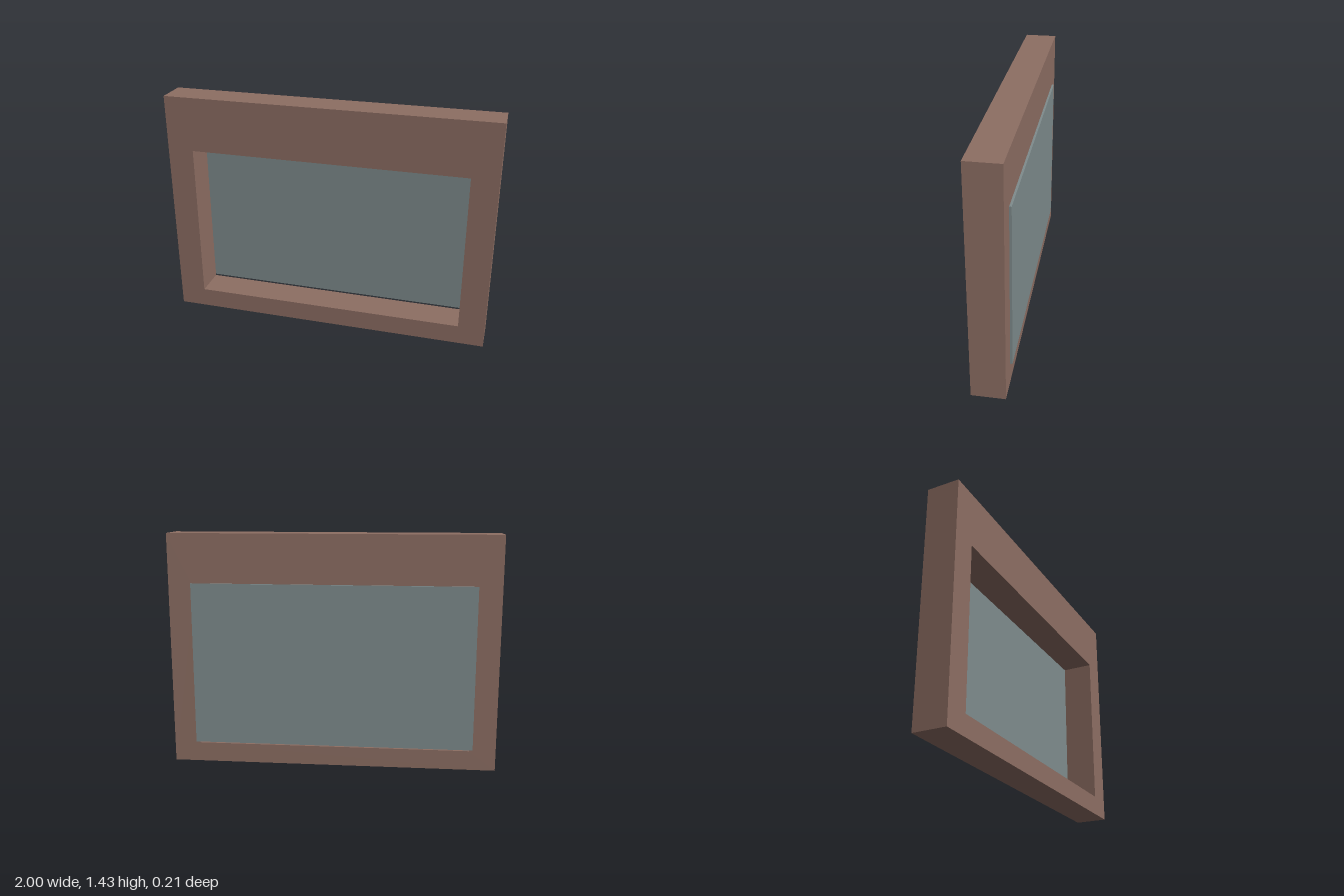
import * as THREE from 'three';

const BACK = -0.092, FRONT = 0.105; // depth range of the frame

// Rectangle outline from opposite corners
function rectangle(Type, x0, y0, x1, y1) {
  const path = new Type();
  path.moveTo(x0, y0);
  path.lineTo(x1, y0);
  path.lineTo(x1, y1);
  path.lineTo(x0, y1);
  path.closePath();
  return path;
}

export function createModel() {
  const group = new THREE.Group();
  const brown = new THREE.MeshStandardMaterial({ color: 0x8d6e63 });
  const grey = new THREE.MeshStandardMaterial({ color: 0x7f8c8d });

  // Deep frame with a rectangular opening and a taller top rail
  const outline = rectangle(THREE.Shape, -1, 0, 1, 1.43);
  outline.holes.push(rectangle(THREE.Path, -0.84, 0.12, 0.84, 1.097));
  const frame = new THREE.Mesh(
    new THREE.ExtrudeGeometry(outline, { depth: FRONT - BACK, bevelEnabled: false }), brown);
  frame.name = 'frame';
  frame.position.z = BACK;
  group.add(frame);

  // Thin panel fixed on the back, leaving a narrow gap at the bottom
  const thickness = 0.013;
  const panel = new THREE.Mesh(new THREE.BoxGeometry(1.72, 1.0, thickness), grey);
  panel.name = 'backPanel';
  panel.position.set(0, 0.63, BACK - thickness / 2);
  group.add(panel);

  return group;
}
